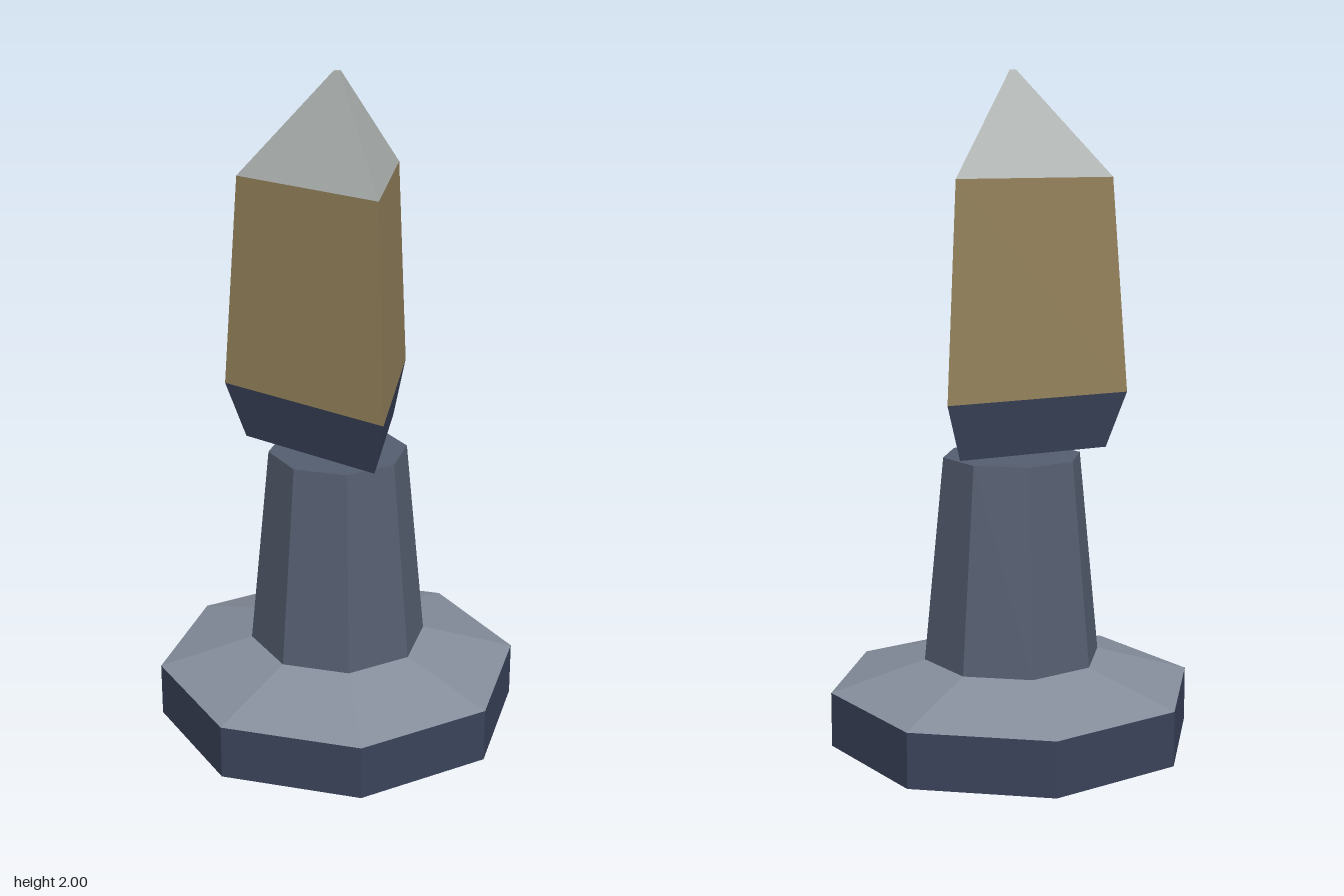
import * as THREE from 'three';

// Faceted solid of revolution; profile is [radius, y] from bottom to top
function facetedPart(name, profile, sides, start, color) {
  const points = profile.map(([r, y]) => new THREE.Vector2(r, y));
  const geometry = new THREE.LatheGeometry(points, sides, start);
  const material = new THREE.MeshStandardMaterial({ color, flatShading: true });
  const mesh = new THREE.Mesh(geometry, material);
  mesh.name = name;
  return mesh;
}

export function createModel() {
  const group = new THREE.Group();
  group.name = 'crystalPedestal';

  const navy = 0x3a435a, slate = 0x858d9b, steel = 0x555e70;
  const gold = 0x92805a, silver = 0xa9aeac;

  // Octagonal pedestal, corners on the axes
  const pedestal = new THREE.Group();
  pedestal.name = 'pedestal';
  pedestal.add(
    facetedPart('plinth', [[0, 0], [0.555, 0], [0.555, 0.165]], 8, 0, navy),
    facetedPart('plinthSlope', [[0.555, 0.165], [0.27, 0.25]], 8, 0, slate),
    facetedPart('column', [[0.27, 0.25], [0.21, 0.867], [0, 0.867]], 8, 0, steel),
  );

  // Floating three-sided crystal, one edge pointing to +x
  const crystal = new THREE.Group();
  crystal.name = 'crystal';
  const toX = Math.PI / 2;
  crystal.add(
    facetedPart('crystalCollar', [[0, 0.893], [0.28, 0.893], [0.342, 1.06]], 3, toX, navy),
    facetedPart('crystalBody', [[0.342, 1.06], [0.295, 1.693]], 3, toX, gold),
    facetedPart('crystalTip', [[0.295, 1.693], [0.012, 2], [0, 2]], 3, toX, silver),
  );

  group.add(pedestal, crystal);
  return group;
}
